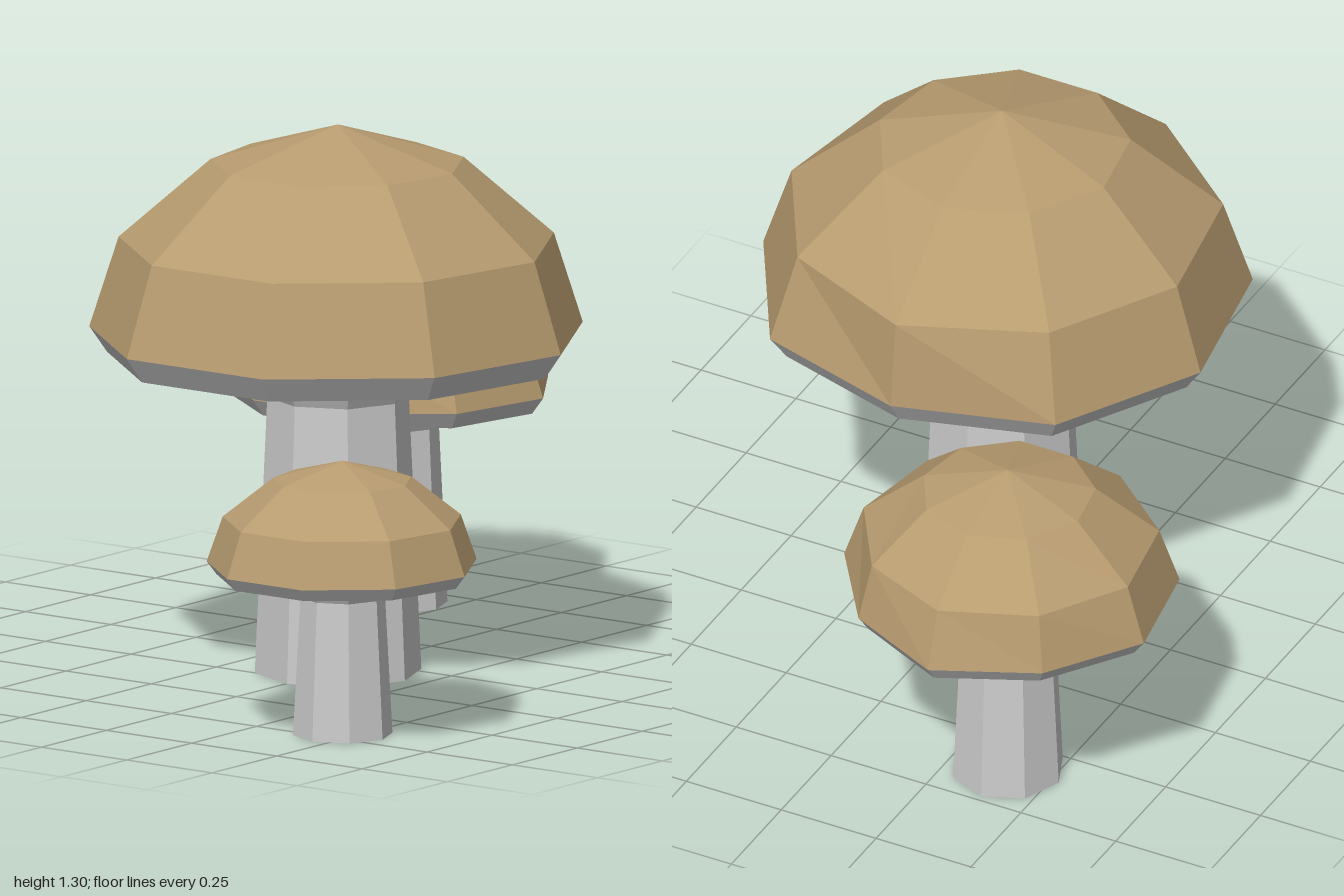
import * as THREE from 'three';

const CAP_SIDES = 9;
const STEM_SIDES = 8;

const grey = new THREE.MeshStandardMaterial({ color: 0xcccccc, flatShading: true, side: THREE.DoubleSide });
const brown = new THREE.MeshStandardMaterial({ color: 0xb89c70, flatShading: true, side: THREE.DoubleSide });

// Profiles as [radius, height], listed from the bottom up
const STEM = [[0.2, 0], [0.17, 0.655], [0.2, 0.717]];
const GILLS = [[0.19, 0.715], [0.543, 0.745], [0.585, 0.805]];
const DOME = [[0.585, 0.805], [0.516, 1.02], [0.3, 1.21], [0, 1.3]];

// Low-poly lathe with a corner on +x. bumps: column -> [rim factor, shoulder factor]
function turned(name, profile, sides, width, height, material, bumps = {}) {
  const points = profile.map(([r, y]) => new THREE.Vector2(r * width, y * height));
  const geometry = new THREE.LatheGeometry(points, sides, Math.PI / 2);
  const pos = geometry.attributes.position;
  for (let i = 0; i < pos.count; i++) {
    const column = Math.floor(i / profile.length) % sides;
    const [r, y] = profile[i % profile.length];
    if (!bumps[column] || r < 0.5) continue;
    const f = bumps[column][y > 0.9 ? 1 : 0];
    pos.setXYZ(i, pos.getX(i) * f, pos.getY(i), pos.getZ(i) * f);
  }
  geometry.computeVertexNormals();
  const mesh = new THREE.Mesh(geometry, material);
  mesh.name = name;
  return mesh;
}

function mushroom({ name, x, z, capWidth, stemWidth, height, bumps }) {
  const group = new THREE.Group();
  group.name = name;
  group.add(
    turned('stem', STEM, STEM_SIDES, stemWidth, height, grey),
    turned('capUnderside', GILLS, CAP_SIDES, capWidth, height, grey, bumps),
    turned('capDome', DOME, CAP_SIDES, capWidth, height, brown, bumps)
  );
  group.position.set(x, 0, z);
  return group;
}

export function createModel() {
  const model = new THREE.Group();
  model.name = 'mushroomCluster';
  const cluster = [
    { name: 'largeMushroom', x: -0.113, z: 0.003, capWidth: 1, stemWidth: 0.98, height: 1,
      bumps: { 0: [0.955, 1.035] } },
    { name: 'mediumMushroom', x: 0.6, z: -0.387, capWidth: 0.685, stemWidth: 0.67, height: 0.65,
      bumps: { 1: [0.94, 0.97], 8: [0.94, 0.97], 4: [0.95, 1], 5: [0.95, 1] } },
    { name: 'smallMushroom', x: -0.698, z: 0.463, capWidth: 0.547, stemWidth: 0.585, height: 0.5,
      bumps: { 0: [1.05, 1.04] } },
  ];
  cluster.forEach((spec) => model.add(mushroom(spec)));
  return model;
}
